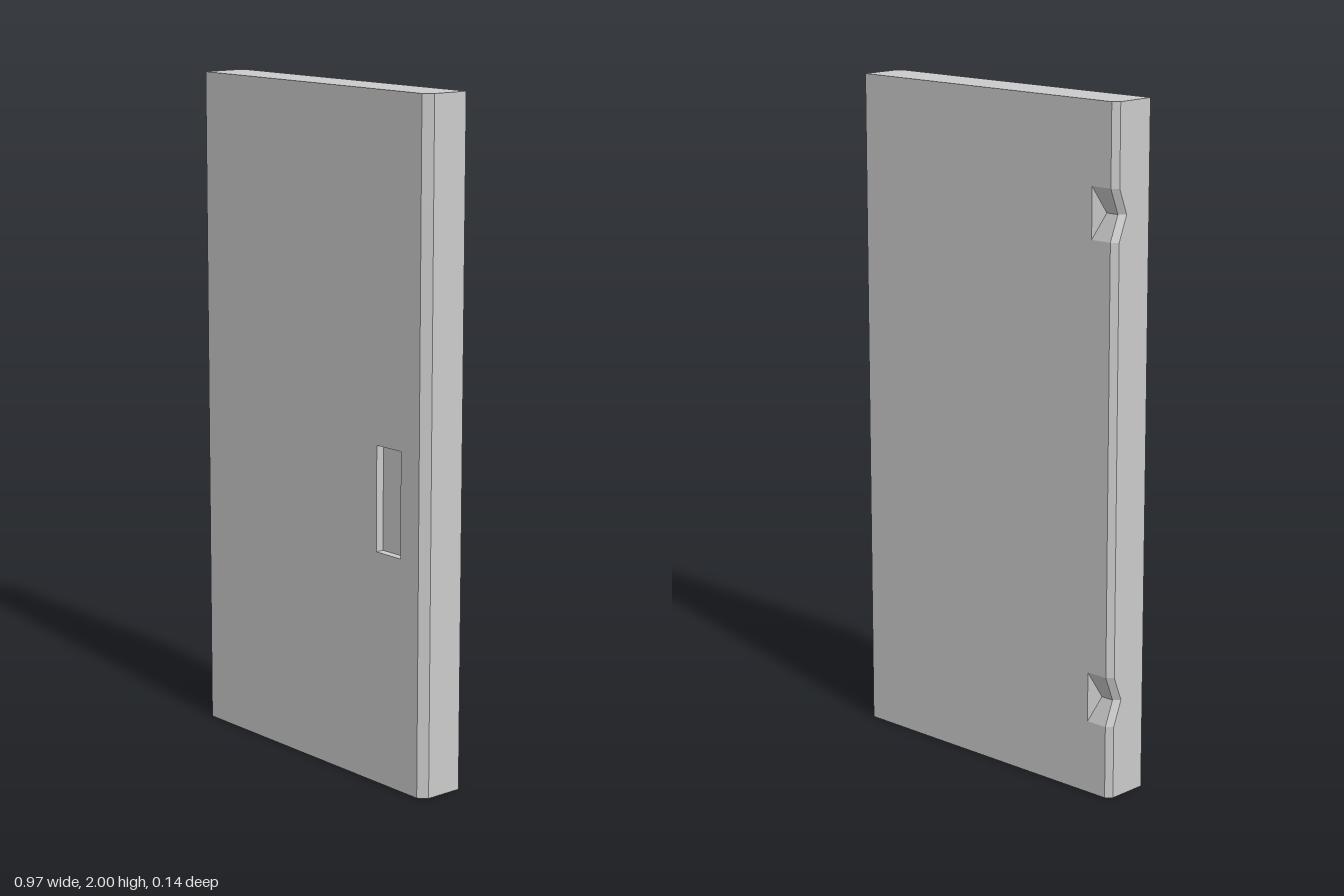
import * as THREE from 'three';

const H = 2, W = 0.487, T = 0.07;              // height, half width, half thickness
const FRONT_BEVEL = 0.024, BACK_BEVEL = 0.017;
const NOTCH = { centers: [0.29, 1.69], half: 0.074, depth: 0.03, inner: -0.402, floor: -0.43 };
const PULL = { x0: 0.285, x1: 0.387, y0: 0.69, y1: 1.0, depth: 0.025 };

// Flat-faced surface between successive rows of points (equal counts per row)
function loft(rows) {
  const pos = [];
  const tri = (a, b, c) => {
    const area = new THREE.Triangle(a, b, c).getArea();
    if (area > 1e-9) pos.push(...a.toArray(), ...b.toArray(), ...c.toArray());
  };
  for (let r = 0; r < rows.length - 1; r++) {
    for (let i = 0; i < rows[r].length - 1; i++) {
      const a = rows[r][i], b = rows[r][i + 1], c = rows[r + 1][i + 1], d = rows[r + 1][i];
      tri(a, b, c);
      tri(a, c, d);
    }
  }
  const g = new THREE.BufferGeometry();
  g.setAttribute('position', new THREE.Float32BufferAttribute(pos, 3));
  g.computeVertexNormals();
  return g;
}

// Door outline in x, z, counterclockwise from above; s = 1 at the bottom of a notch
function outline(s = 0) {
  const dz = s * NOTCH.depth;
  return [
    [W - FRONT_BEVEL, T],
    [W, T - FRONT_BEVEL],
    [W, -T],
    [NOTCH.inner, -T],
    [THREE.MathUtils.lerp(NOTCH.inner, NOTCH.floor, s), -T + dz],
    [-W + BACK_BEVEL, -T + dz],
    [-W, -T + BACK_BEVEL + dz],
    [-W, T],
  ];
}

const rectangle = (x0, y0, x1, y1) => [[x0, y0], [x1, y0], [x1, y1], [x0, y1]];
const toShape = (pts) => new THREE.Shape(pts.map(([x, y]) => new THREE.Vector2(x, y)));

export function createModel() {
  const door = new THREE.Group();
  door.name = 'door';
  const material = new THREE.MeshStandardMaterial({ color: 0xcccccc, flatShading: true });
  const add = (name, geometry) => {
    const mesh = new THREE.Mesh(geometry, material);
    mesh.name = name;
    door.add(mesh);
    return mesh;
  };

  // Back and edges, with two hinge notches cut into the bevelled corner
  const levels = [[0, 0]];
  for (const y of NOTCH.centers) {
    levels.push([y - NOTCH.half, 0], [y, 1], [y + NOTCH.half, 0]);
  }
  levels.push([H, 0]);
  add('backAndEdges', loft(levels.map(([y, s]) =>
    outline(s).map(([x, z]) => new THREE.Vector3(x, y, z)))));

  // Front panel with an opening for the hand pull
  const pull = rectangle(PULL.x0, PULL.y0, PULL.x1, PULL.y1);
  const front = toShape(rectangle(-W, 0, W - FRONT_BEVEL, H));
  front.holes.push(toShape(pull));
  add('frontPanel', new THREE.ShapeGeometry(front)).position.z = T;

  // Recessed hand pull: walls and floor
  const ring = [...pull, pull[0]];
  add('handPullWalls', loft([T, T - PULL.depth].map((z) =>
    ring.map(([x, y]) => new THREE.Vector3(x, y, z)))));
  add('handPullFloor', new THREE.ShapeGeometry(toShape(pull))).position.z = T - PULL.depth;

  // Top and bottom ends
  const topShape = toShape(outline().map(([x, z]) => [x, -z]));
  add('topEnd', new THREE.ShapeGeometry(topShape).rotateX(-Math.PI / 2)).position.y = H;
  add('bottomEnd', new THREE.ShapeGeometry(toShape(outline())).rotateX(Math.PI / 2));

  return door;
}
